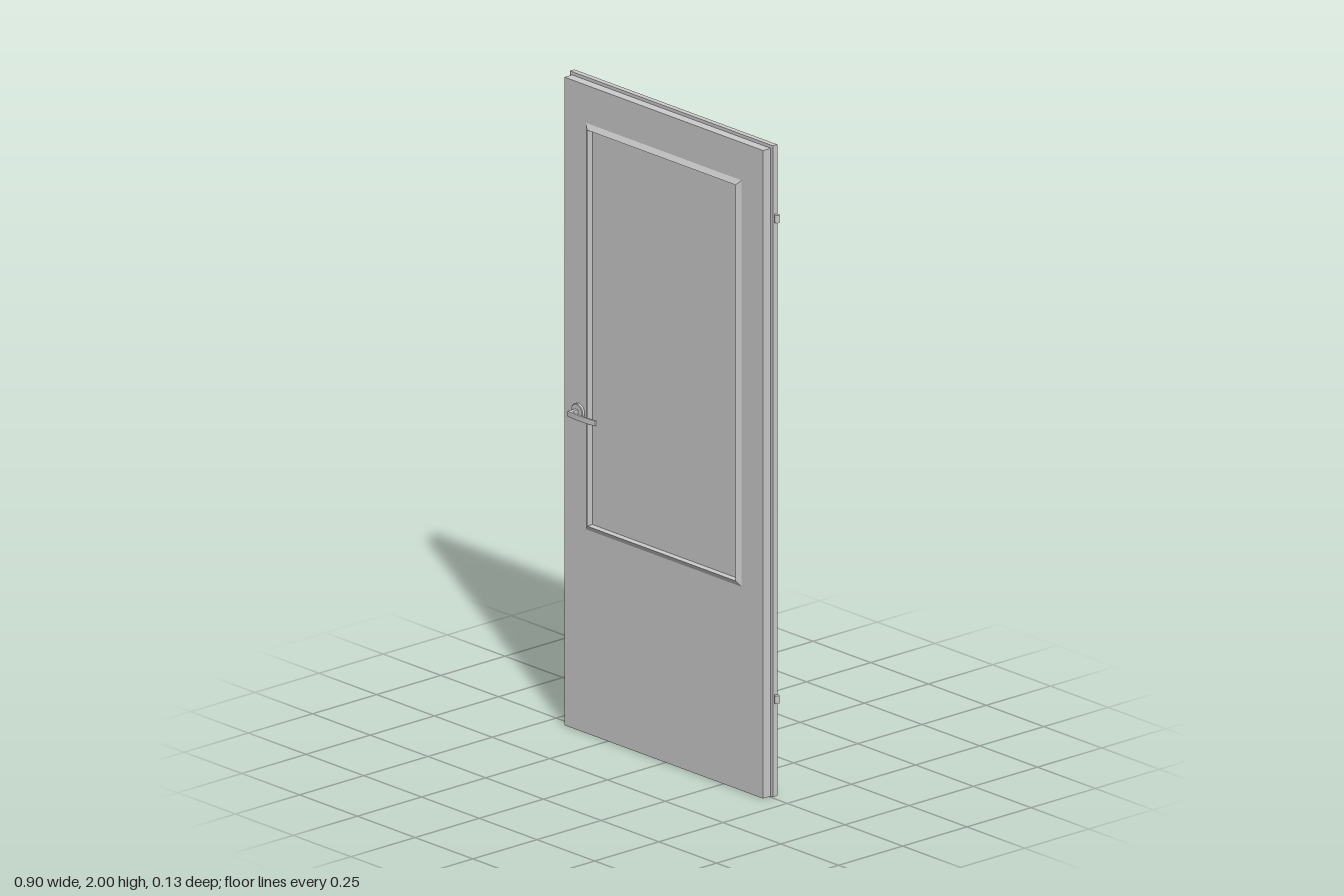
import * as THREE from 'three';

const material = new THREE.MeshStandardMaterial({ color: 0xcccccc, side: THREE.DoubleSide });

// Limits of the sunken panel
const PANEL = { x0: -0.33, x1: 0.313, y0: 0.642, y1: 1.858 };

function add(parent, name, geometry, x = 0, y = 0, z = 0) {
  const mesh = new THREE.Mesh(geometry, material);
  mesh.name = name;
  mesh.position.set(x, y, z);
  parent.add(mesh);
  return mesh;
}

// Corners of a rectangle, counterclockwise
function corners(x0, x1, y0, y1) {
  return [[x0, y0], [x1, y0], [x1, y1], [x0, y1]].map(([x, y]) => new THREE.Vector2(x, y));
}

// Corners of the panel opening, grown outwards
function panelCorners(grow) {
  return corners(PANEL.x0 - grow, PANEL.x1 + grow, PANEL.y0 - grow, PANEL.y1 + grow);
}

// One layer of the leaf, with the panel opening cut out
function layer(parent, name, x0, x1, y1, z0, z1) {
  const shape = new THREE.Shape(corners(x0, x1, 0, y1));
  shape.holes.push(new THREE.Path(panelCorners(0.008).reverse()));
  add(parent, name, new THREE.ExtrudeGeometry(shape, { depth: z1 - z0, bevelEnabled: false }), 0, 0, z0);
}

// Mitred frame: a closed profile of [outward offset, z] carried around the panel
function mouldingGeometry(profile) {
  const rings = profile.map(([grow, z]) =>
    panelCorners(grow).map((p) => [p.x, p.y, z]));
  const positions = [];
  for (let i = 0; i < rings.length; i++) {
    const ring = rings[i];
    const next = rings[(i + 1) % rings.length];
    for (let c = 0; c < 4; c++) {
      const d = (c + 1) % 4;
      positions.push(...ring[c], ...next[c], ...next[d], ...ring[c], ...next[d], ...ring[d]);
    }
  }
  const geometry = new THREE.BufferGeometry();
  geometry.setAttribute('position', new THREE.Float32BufferAttribute(positions, 3));
  geometry.computeVertexNormals();
  return geometry;
}

// Rosette, neck and curved lever, pointing out along +z
function createHandle(name) {
  const handle = new THREE.Group();
  handle.name = name;

  const profile = [[0, 0.02], [0.025, 0.02], [0.025, 0.031], [0.0235, 0.0328], [0, 0.0328]]
    .map(([r, h]) => new THREE.Vector2(r, h));
  const rosette = new THREE.LatheGeometry(profile, 32).toNonIndexed();
  rosette.computeVertexNormals();
  add(handle, 'rosette', rosette.rotateX(Math.PI / 2));

  // Neck and lever share one outline, with a square outer corner
  const outline = new THREE.Shape();
  outline.moveTo(-0.007, 0.03);
  outline.lineTo(0.006, 0.03);
  outline.lineTo(0.006, 0.0545);
  outline.quadraticCurveTo(0.06, 0.0615, 0.112, 0.0545);
  outline.lineTo(0.112, 0.0605);
  outline.quadraticCurveTo(0.055, 0.0695, -0.007, 0.0615);
  outline.closePath();
  const height = 0.017;
  const lever = new THREE.ExtrudeGeometry(outline, {
    depth: height - 0.003, curveSegments: 14,
    bevelThickness: 0.0015, bevelSize: 0.001, bevelOffset: -0.001, bevelSegments: 2,
  });
  lever.translate(0, 0, -height / 2 + 0.0015).rotateX(Math.PI / 2);
  add(handle, 'lever', lever);
  return handle;
}

export function createModel() {
  const door = new THREE.Group();
  door.name = 'door';

  // Rebated leaf: narrower front layer on a wider back layer
  layer(door, 'frontLeaf', -0.439, 0.422, 1.99, -0.006, 0.0235);
  layer(door, 'backLeaf', -0.448, 0.431, 2, -0.0235, -0.006);

  // Sunken panel and the sloping moulding that stands proud around it on both faces
  const { x0, x1, y0, y1 } = PANEL;
  add(door, 'sunkenPanel', new THREE.BoxGeometry(x1 - x0, y1 - y0, 0.025),
    (x0 + x1) / 2, (y0 + y1) / 2, 0);
  add(door, 'panelMoulding', mouldingGeometry(
    [[0, -0.033], [0, 0.033], [0.016, 0.0235], [0.016, -0.0235]]));

  // Handles on both faces
  for (const [name, turn] of [['frontHandle', 0], ['backHandle', Math.PI]]) {
    const handle = createHandle(name);
    handle.position.set(-0.376, 0.98, 0);
    handle.rotation.x = turn;
    door.add(handle);
  }

  // Hinge knuckles on the back layer's edge
  for (const [name, y] of [['upperHinge', 1.777], ['lowerHinge', 0.301]]) {
    const hinge = new THREE.Group();
    hinge.name = name;
    add(hinge, 'knuckle', new THREE.CylinderGeometry(0.0075, 0.0075, 0.024, 16), 0.44, y, -0.0145);
    add(hinge, 'hingeLeaf', new THREE.BoxGeometry(0.012, 0.024, 0.005), 0.431, y, -0.0145);
    door.add(hinge);
  }

  return door;
}
